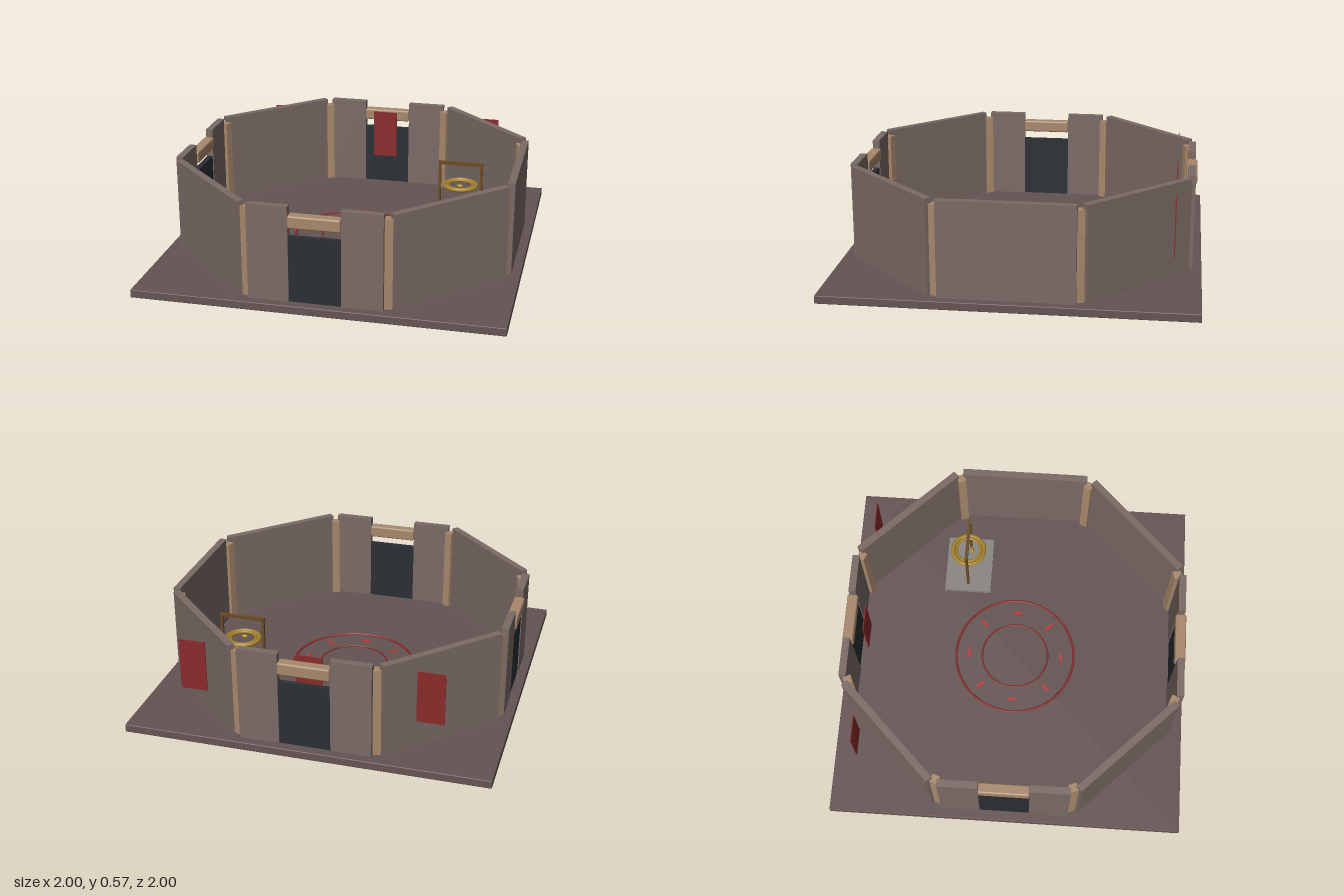
import * as THREE from 'three';
import { RoundedBoxGeometry } from 'three/addons/geometries/RoundedBoxGeometry.js';

const mat = (color) => new THREE.MeshStandardMaterial({ color });
const STONE = mat(0x7a6a65), FLOOR = mat(0x635452), TIMBER = mat(0xa8886c), DARK = mat(0x2a2f33),
  RED = mat(0x8a2a2a), RUNE = mat(0xcc3333), GOLD = mat(0xa8842c), BRONZE = mat(0x6b4a22), SLAB = mat(0x8a8580);

const FLOOR_TOP = 0.045, APOTHEM = 0.93;

function add(parent, name, geometry, material, x = 0, y = 0, z = 0) {
  const mesh = new THREE.Mesh(geometry, material);
  mesh.name = name;
  mesh.position.set(x, y, z);
  parent.add(mesh);
  return mesh;
}
const box = (w, h, d) => new THREE.BoxGeometry(w, h, d);

// box standing between two heights
function block(parent, name, material, w, d, y0, y1, x, z) {
  return add(parent, name, box(w, y1 - y0, d), material, x, (y0 + y1) / 2, z);
}

// horizontal ring
function ring(parent, name, material, radius, tube, x, y, z) {
  const r = add(parent, name, new THREE.TorusGeometry(radius, tube, 8, 48), material, x, y, z);
  r.rotation.x = Math.PI / 2;
  return r;
}

// one side of the octagon, solid or with a doorway
function createSide(angle, hasDoor) {
  const side = new THREE.Group();
  side.name = hasDoor ? 'doorwaySide' : 'solidSide';
  if (hasDoor) {
    for (const s of [-1, 1]) block(side, 'wallPanel', STONE, 0.22, 0.04, FLOOR_TOP, 0.575, s * 0.25, APOTHEM);
    block(side, 'door', DARK, 0.28, 0.03, FLOOR_TOP, 0.41, 0, APOTHEM);
    add(side, 'lintel', new RoundedBoxGeometry(0.28, 0.07, 0.06, 2, 0.01), TIMBER, 0, 0.495, APOTHEM);
  } else {
    block(side, 'wallPanel', STONE, 0.725, 0.04, FLOOR_TOP, 0.575, 0, APOTHEM);
  }
  side.rotation.y = angle;
  return side;
}

// stand with hanging gold rings on a low slab
function createShrine() {
  const shrine = new THREE.Group();
  shrine.name = 'ringStand';
  block(shrine, 'standSlab', SLAB, 0.345, 0.275, FLOOR_TOP, 0.07, 0, 0);
  for (const s of [-1, 1]) block(shrine, 'standPost', BRONZE, 0.015, 0.015, 0.07, 0.42, s * 0.123, 0);
  block(shrine, 'standCrossbar', BRONZE, 0.262, 0.018, 0.41, 0.428, 0, 0);
  ring(shrine, 'outerGoldRing', GOLD, 0.092, 0.012, 0, 0.285, 0);
  ring(shrine, 'innerGoldRing', GOLD, 0.073, 0.008, 0, 0.285, 0);
  add(shrine, 'goldBead', new THREE.SphereGeometry(0.02, 16, 12), GOLD, 0, 0.285, 0.022).scale.set(1, 0.6, 0.6);
  shrine.position.set(0.565, 0, -0.313);
  return shrine;
}

export function createModel() {
  const model = new THREE.Group();
  model.name = 'octagonalChamber';

  add(model, 'floor', new RoundedBoxGeometry(2, FLOOR_TOP, 2, 1, 0.004), FLOOR, 0, FLOOR_TOP / 2, 0);

  // walls and corner pillars
  const doorSides = [0, 4, 6];
  for (let k = 0; k < 8; k++) {
    const a = k * Math.PI / 4;
    model.add(createSide(a, doorSides.includes(k)));
    const c = a + Math.PI / 8, r = 0.976;
    block(model, 'cornerPillar', TIMBER, 0.045, 0.045, FLOOR_TOP, 0.545, Math.sin(c) * r, Math.cos(c) * r)
      .rotation.y = c;
  }

  // floor circle with small marks
  ring(model, 'outerFloorRing', RED, 0.35, 0.007, 0, 0.048, 0);
  ring(model, 'innerFloorRing', RED, 0.195, 0.005, 0, 0.048, 0);
  for (let k = 0; k < 8; k++) {
    const a = k * Math.PI / 4;
    block(model, 'floorMark', RUNE, 0.05, 0.014, FLOOR_TOP, 0.051, Math.sin(a) * 0.273, Math.cos(a) * 0.273)
      .rotation.y = -a;
  }

  // hanging banners at the back
  for (const x of [-0.645, 0, 0.645]) block(model, 'banner', RED, 0.147, 0.006, 0.24, 0.53, x, -0.85);

  model.add(createShrine());
  return model;
}
